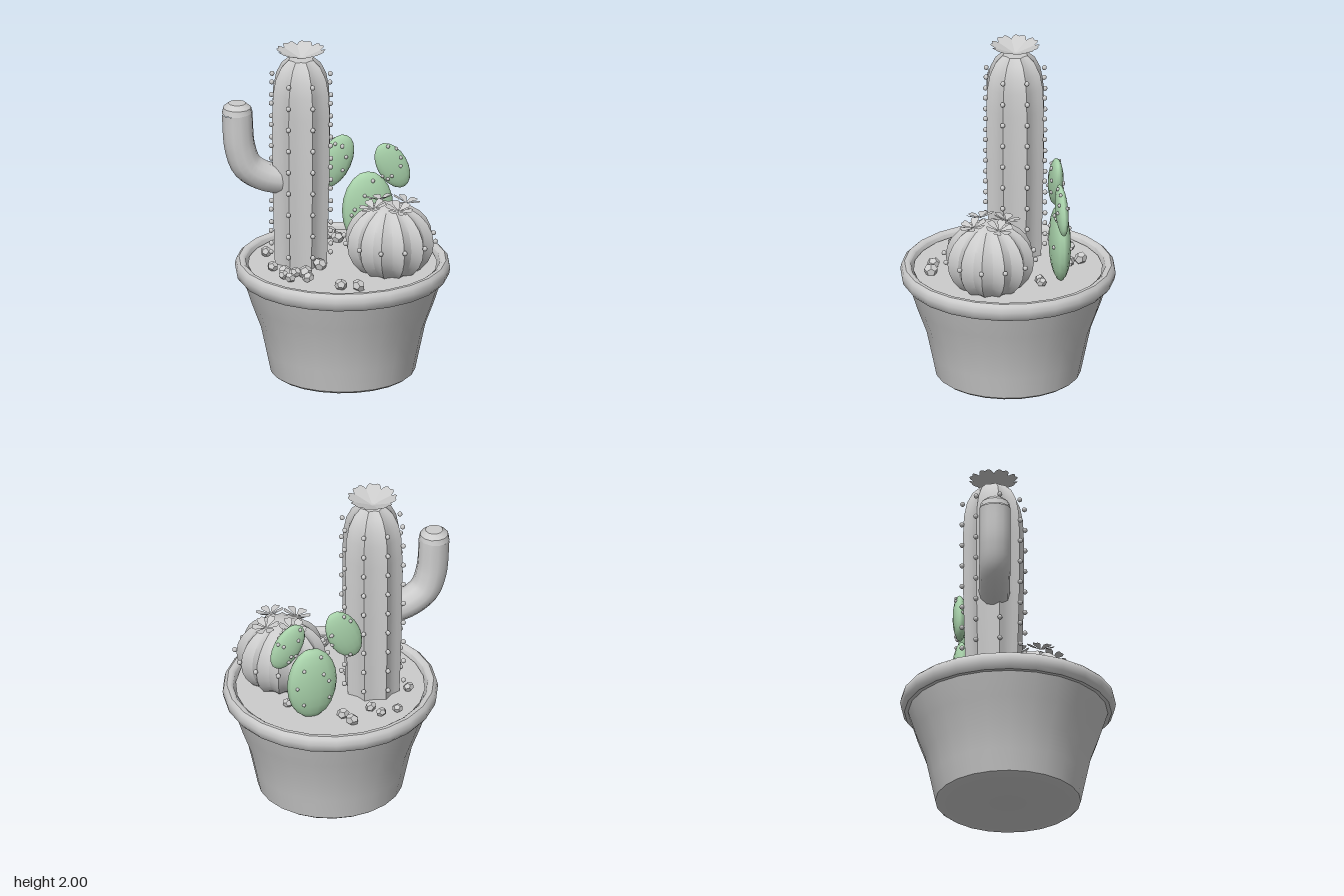
import * as THREE from 'three';
import { toCreasedNormals } from 'three/addons/utils/BufferGeometryUtils.js';

const grey = new THREE.MeshStandardMaterial({ color: 0xcccccc });
grey.name = 'clay grey';
const petalGrey = new THREE.MeshStandardMaterial({ color: 0xcccccc, side: THREE.DoubleSide });
petalGrey.name = 'petal grey';
const green = new THREE.MeshStandardMaterial({ color: 0xaad4ac });
green.name = 'pad green';

const rad = THREE.MathUtils.degToRad;
const POT_X = 0.035;

function add(parent, name, geometry, material, x = 0, y = 0, z = 0) {
  const mesh = new THREE.Mesh(geometry, material);
  mesh.name = name;
  mesh.position.set(x, y, z);
  parent.add(mesh);
  return mesh;
}

function group(parent, name, x = 0, y = 0, z = 0) {
  const g = new THREE.Group();
  g.name = name;
  g.position.set(x, y, z);
  parent.add(g);
  return g;
}

function seeded(seed) {
  return () => (seed = (seed * 16807) % 2147483647) / 2147483647;
}

const points = (list) => list.map(([r, y]) => new THREE.Vector2(r, y));
const lathe = (list, sides) => new THREE.LatheGeometry(points(list), sides);

// Lathe whose radius dips between evenly spaced ridges; one ridge lies on +x
function ribbed(profile, ribs, depth) {
  const geo = lathe(profile, ribs * 4);
  const p = geo.attributes.position;
  for (let i = 0; i < p.count; i++) {
    const a = Math.atan2(p.getZ(i), p.getX(i));
    const k = 1 - depth * Math.abs(Math.sin(a * ribs / 2));
    p.setXYZ(i, p.getX(i) * k, p.getY(i), p.getZ(i) * k);
  }
  return toCreasedNormals(geo, rad(28));
}

const spineBall = new THREE.SphereGeometry(0.015, 8, 6);

function spineRing(parent, ribs, radius, y) {
  for (let i = 0; i < ribs; i++) {
    const a = i / ribs * Math.PI * 2;
    add(parent, 'spine', spineBall, grey, Math.cos(a) * radius, y, Math.sin(a) * radius);
  }
}

// Flower of notched, upward tilted petals
function flower(parent, petals, size, x, y, z, lift) {
  const g = group(parent, 'flower', x, y, z);
  const w = size * 0.29;
  const shape = new THREE.Shape();
  shape.moveTo(0, 0);
  shape.quadraticCurveTo(w * 0.6, size * 0.4, w, size * 0.75);
  shape.quadraticCurveTo(w * 0.9, size * 1.02, w * 0.4, size);
  shape.lineTo(0, size * 0.95);
  shape.lineTo(-w * 0.4, size);
  shape.quadraticCurveTo(-w * 0.9, size * 1.02, -w, size * 0.75);
  shape.quadraticCurveTo(-w * 0.6, size * 0.4, 0, 0);
  const geo = new THREE.ShapeGeometry(shape, 4);
  geo.rotateX(Math.PI / 2 - lift);
  for (let i = 0; i < petals; i++) {
    add(g, 'petal', geo, petalGrey).rotation.y = i / petals * Math.PI * 2;
  }
  return g;
}

// Flat egg-shaped pad with spines scattered over both faces
function pad(parent, name, x, y, z, size, tilt, seed) {
  const g = group(parent, name, x, y, z);
  g.rotation.z = rad(tilt);
  const geo = new THREE.SphereGeometry(1, 14, 10);
  geo.scale(...size);
  add(g, 'padBody', geo, green);
  const rand = seeded(seed);
  for (let i = 0; i < 14; i++) {
    const a = rand() * Math.PI * 2;
    const r = 0.45 + 0.5 * rand();
    const depth = Math.sqrt(1 - r * r) * (i % 2 ? 1 : -1);
    add(g, 'padSpine', spineBall, grey,
      Math.cos(a) * r * size[0], Math.sin(a) * r * size[1], depth * size[2]).scale.setScalar(0.75);
  }
}

export function createModel() {
  const model = new THREE.Group();
  model.name = 'pottedCacti';

  // Pot with rolled rim, hollow down to the soil
  const pot = lathe([
    [0, 0], [0.41, 0], [0.43, 0.015], [0.458, 0.15], [0.49, 0.3], [0.545, 0.45], [0.59, 0.59],
    [0.612, 0.592], [0.63, 0.615], [0.637, 0.65], [0.63, 0.682], [0.612, 0.699],
    [0.59, 0.699], [0.575, 0.688], [0.568, 0.66], [0.55, 0.6],
  ], 24);
  add(model, 'pot', toCreasedNormals(pot, rad(40)), grey, POT_X);
  const soil = add(model, 'soil', new THREE.CylinderGeometry(0.56, 0.54, 0.07, 24), grey, POT_X, 0.635);
  soil.rotation.y = rad(7.5);

  // Tall ribbed column with spines, flower and side arm
  const column = group(model, 'columnCactus', -0.197, 0, -0.09);
  const ribs = group(column, 'columnRibs');
  ribs.rotation.y = rad(10.6);
  add(ribs, 'columnBody', ribbed([
    [0.165, 0.64], [0.172, 0.85], [0.182, 1.2], [0.184, 1.6], [0.178, 1.74],
    [0.16, 1.83], [0.125, 1.9], [0.08, 1.94], [0, 1.945],
  ], 8, 0.15), grey);
  for (let i = 0; i < 9; i++) spineRing(ribs, 8, i < 8 ? 0.19 : 0.186, 0.75 + i * 0.1337);
  flower(column, 8, 0.155, 0, 1.94, 0, 0.39).rotation.y = rad(22.5);

  const arm = group(model, 'columnArm', 0, 0, -0.088);
  const path = new THREE.CatmullRomCurve3([
    [-0.25, 1.19], [-0.34, 1.2], [-0.43, 1.225], [-0.52, 1.29], [-0.565, 1.41], [-0.582, 1.63],
  ].map(([x, y]) => new THREE.Vector3(x, y, 0)));
  add(arm, 'armTube', new THREE.TubeGeometry(path, 20, 0.092, 12), grey);
  const tip = lathe([[0.092, 0], [0.084, 0.035], [0.052, 0.062], [0, 0.063]], 12);
  add(arm, 'armTip', toCreasedNormals(tip, rad(35)), grey, -0.582, 1.628);

  // Round ribbed cactus with one row of spines and four flowers
  const ball = group(model, 'ballCactus', 0.287, 0, 0.16);
  ball.rotation.y = rad(8);
  const ballProfile = [];
  for (let i = 0; i <= 12; i++) {
    const a = -Math.PI / 2 + i / 12 * Math.PI;
    ballProfile.push([Math.max(0, Math.cos(a)) * 0.265, 0.85 + Math.sin(a) * 0.235]);
  }
  add(ball, 'ballBody', ribbed(ballProfile, 12, 0.14), grey);
  spineRing(ball, 12, 0.275, 0.865);
  for (let i = 0; i < 4; i++) {
    const a = rad(-10 + i * 90);
    const bloom = flower(ball, 6, 0.085, Math.cos(a) * 0.11, 1.07, Math.sin(a) * 0.11, 0.3);
    bloom.rotation.set(Math.sin(a) * 0.25, 0, -Math.cos(a) * 0.25);
  }

  // Pad cactus: one large pad and two smaller ones above it
  const pads = group(model, 'padCactus');
  pad(pads, 'mainPad', 0.24, 0.895, -0.27, [0.155, 0.235, 0.062], 0, 11);
  pad(pads, 'leftLeaningPad', 0.385, 1.165, -0.253, [0.09, 0.155, 0.036], 28, 523);
  pad(pads, 'rightLeaningPad', 0.047, 1.205, -0.285, [0.1, 0.173, 0.042], -24, 7919);

  // Pebbles scattered on the soil
  const pebbles = group(model, 'pebbles');
  const stone = new THREE.DodecahedronGeometry(0.037);
  const rand = seeded(77);
  [
    [-0.25, -0.4], [-0.145, -0.41], [-0.105, -0.335], [0.045, -0.435], [0.075, -0.355],
    [-0.385, -0.2], [0.345, -0.14], [0.3, -0.135], [-0.395, 0.05], [-0.34, 0.14],
    [-0.36, 0.2], [-0.28, 0.17], [-0.225, 0.18], [-0.33, 0.255], [-0.225, 0.27],
    [-0.06, 0.43], [0.04, 0.465], [-0.115, 0.07],
  ].forEach(([x, z]) => {
    const m = add(pebbles, 'pebble', stone, grey, x, 0.697, z);
    const s = 0.85 + rand() * 0.3;
    m.scale.set(s, s * 0.85, s);
    m.rotation.set(rand() * 0.6, rand() * 6, rand() * 0.6);
  });

  return model;
}
